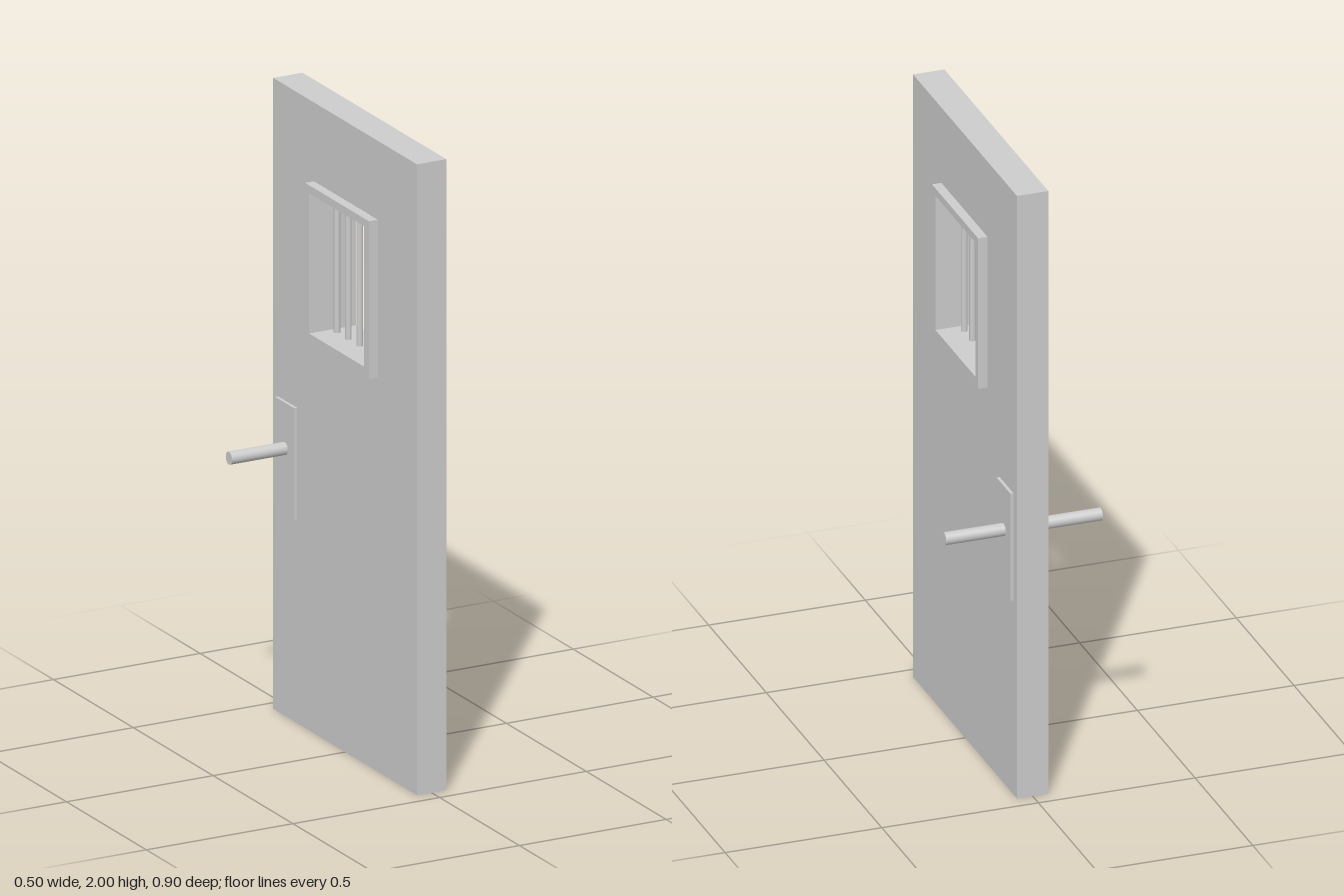
import * as THREE from 'three';

const material = new THREE.MeshStandardMaterial({ color: 0xcccccc });

// Rectangle outline; u runs towards -z, v is height
function rect(Type, u0, u1, v0, v1) {
  const r = new Type();
  r.moveTo(u0, v0);
  r.lineTo(u1, v0);
  r.lineTo(u1, v1);
  r.lineTo(u0, v1);
  r.closePath();
  return r;
}

// Panel with a rectangular opening, thickness along x, centred on x = 0
function openPanel(name, outer, inner, thickness) {
  const shape = rect(THREE.Shape, ...outer);
  shape.holes.push(rect(THREE.Path, ...inner));
  const geometry = new THREE.ExtrudeGeometry(shape, { depth: thickness, bevelEnabled: false });
  geometry.translate(0, 0, -thickness / 2);
  geometry.rotateY(Math.PI / 2);
  const mesh = new THREE.Mesh(geometry, material);
  mesh.name = name;
  return mesh;
}

export function createModel() {
  const group = new THREE.Group();
  group.name = 'cellDoor';

  const add = (name, geometry, x, y, z) => {
    const mesh = new THREE.Mesh(geometry, material);
    mesh.name = name;
    mesh.position.set(x, y, z);
    group.add(mesh);
    return mesh;
  };

  // Door leaf and the window frame lining its opening
  const frameOuter = [-0.205, 0.195, 1.25, 1.75];
  const frameInner = [-0.175, 0.17, 1.28, 1.725];
  group.add(openPanel('doorLeaf', [-0.45, 0.45, 0, 2], frameOuter, 0.1));
  group.add(openPanel('windowFrame', frameOuter, frameInner, 0.16));

  // Window bars
  const barGeometry = new THREE.CylinderGeometry(0.01, 0.01, 0.46, 16);
  for (let i = -2; i <= 2; i++) add('windowBar', barGeometry, 0, 1.5025, i * 0.071);

  // Lock plates on both faces
  const plateGeometry = new THREE.BoxGeometry(0.01, 0.355, 0.12);
  for (const side of [-1, 1]) add('lockPlate', plateGeometry, side * 0.055, 0.8225, -0.36);

  // Handle rod through the door
  const handle = add('handle', new THREE.CylinderGeometry(0.02, 0.02, 0.5, 32), 0, 0.855, -0.36);
  handle.rotation.z = Math.PI / 2;

  return group;
}
